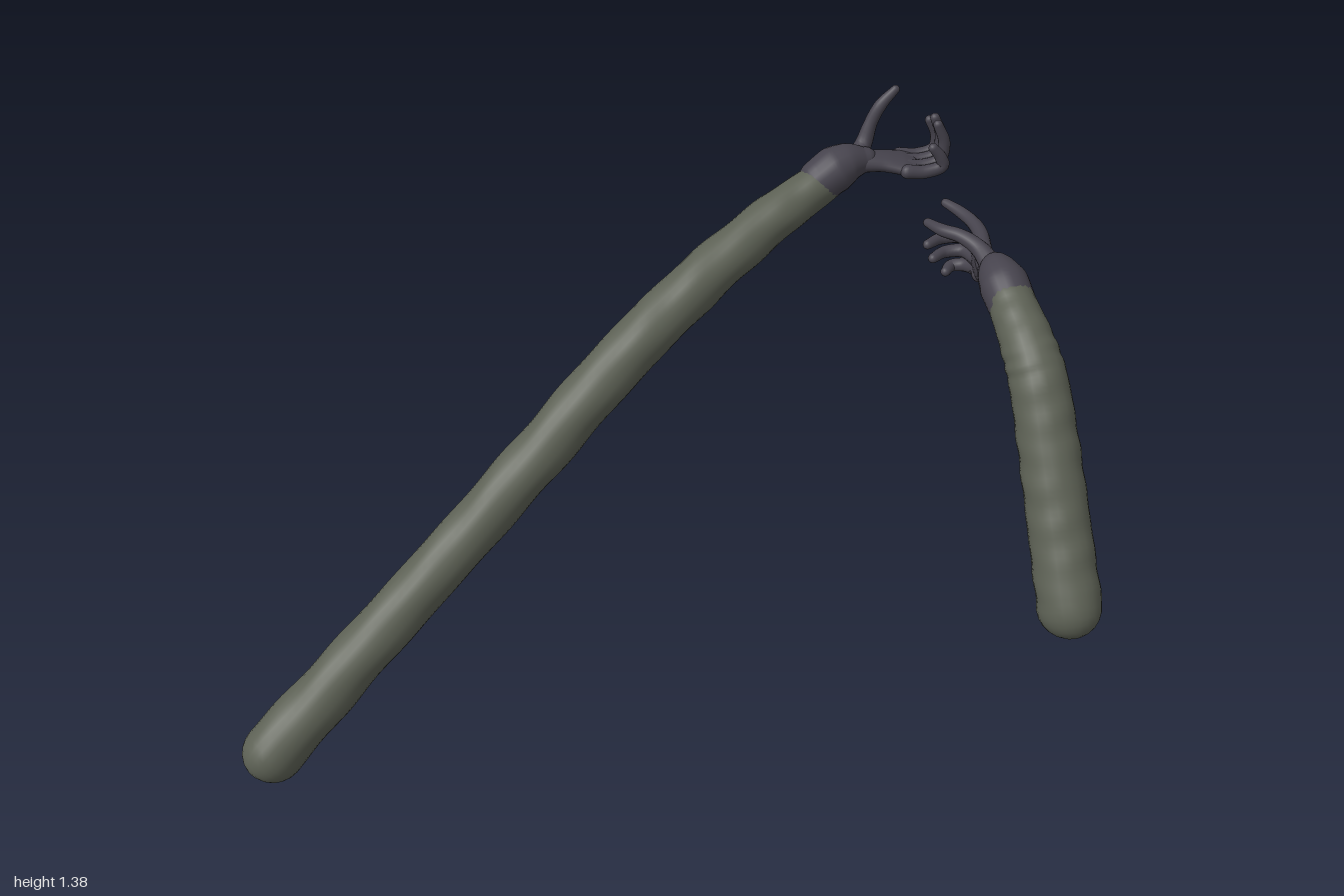
import * as THREE from 'three';

const sleeveMat = new THREE.MeshStandardMaterial({ color: 0x5c6054 });
sleeveMat.name = 'olive sleeve';
const gloveMat = new THREE.MeshStandardMaterial({ color: 0x46434d });
gloveMat.name = 'dark glove';

// Round-ended sweep through stations [x, y, z, radius across `side`, other radius]
function sweep(name, mat, stations, { side = [0, 1, 0], steps = 20, sides = 14, bump = 0 } = {}) {
  const curve = new THREE.CatmullRomCurve3(stations.map(s => new THREE.Vector3(s[0], s[1], s[2])));
  const sideVec = new THREE.Vector3(...side);
  const pos = [], index = [];
  let rows = 0;
  const ring = (t, capAngle) => {
    const f = t * (stations.length - 1), k = Math.min(Math.floor(f), stations.length - 2);
    const mix = c => THREE.MathUtils.lerp(stations[k][c] ?? stations[k][3], stations[k + 1][c] ?? stations[k + 1][3], f - k);
    const w = mix(3), h = mix(4);
    const T = curve.getTangent(t);
    const U = sideVec.clone().addScaledVector(T, -sideVec.dot(T)).normalize();
    const V = new THREE.Vector3().crossVectors(T, U);
    const c = curve.getPoint(t).addScaledVector(T, Math.min(w, h) * Math.sin(capAngle));
    const shrink = Math.cos(capAngle);
    for (let j = 0; j < sides; j++) {
      const a = j / sides * Math.PI * 2;
      const b = 1 + bump * Math.sin(t * 62 + 1.3 * Math.sin(a * 2)) * Math.cos(a + t * 9);
      const p = c.clone().addScaledVector(U, w * shrink * b * Math.cos(a)).addScaledVector(V, h * shrink * b * Math.sin(a));
      pos.push(p.x, p.y, p.z);
    }
    rows++;
  };
  const cap = 6;
  for (let i = 0; i < cap; i++) ring(0, (i / cap - 1) * Math.PI / 2 * 0.999);
  for (let i = 0; i <= steps; i++) ring(i / steps, 0);
  for (let i = 1; i <= cap; i++) ring(1, i / cap * Math.PI / 2 * 0.999);
  for (let i = 0; i < rows - 1; i++) for (let j = 0; j < sides; j++) {
    const a = i * sides + j, b = i * sides + (j + 1) % sides;
    index.push(a, b, a + sides, b, b + sides, a + sides);
  }
  const geo = new THREE.BufferGeometry();
  geo.setAttribute('position', new THREE.Float32BufferAttribute(pos, 3));
  geo.setIndex(index);
  geo.computeVertexNormals();
  const mesh = new THREE.Mesh(geo, mat);
  mesh.name = name;
  return mesh;
}

function longArm() {
  const g = new THREE.Group();
  g.name = 'longArm';
  // Sleeve
  g.add(sweep('longSleeve', sleeveMat, [
    [-0.92, 0.085, 0.21, 0.077], [-0.7, 0.27, 0.1, 0.07], [-0.46, 0.465, -0.025, 0.068], [-0.22, 0.67, -0.145, 0.069],
    [0, 0.86, -0.255, 0.069], [0.2, 0.998, -0.36, 0.067], [0.4, 1.11, -0.46, 0.06], [0.55, 1.18, -0.525, 0.052],
  ], { steps: 90, sides: 24, bump: 0.035 }));
  // Wrist cuff
  g.add(sweep('longCuff', gloveMat, [
    [0.535, 1.18, -0.52, 0.056], [0.575, 1.203, -0.532, 0.059], [0.61, 1.215, -0.54, 0.05], [0.65, 1.218, -0.545, 0.032],
  ], { sides: 20 }));
  // Palm, lying flat
  g.add(sweep('longPalm', gloveMat, [
    [0.62, 1.215, -0.542, 0.032, 0.028], [0.69, 1.212, -0.545, 0.04, 0.023], [0.745, 1.203, -0.545, 0.056, 0.021],
    [0.77, 1.199, -0.544, 0.058, 0.017],
  ], { side: [0, 0, 1], sides: 20 }));
  // Fingers curling upward
  [[-0.497, 1.265, 0.81], [-0.528, 1.312, 0.825], [-0.56, 1.315, 0.825], [-0.588, 1.295, 0.82]].forEach(([z, y, x]) => {
    g.add(sweep('longFinger', gloveMat, [
      [0.75, 1.203, z, 0.018], [0.795, 1.2, z, 0.017], [0.838, 1.215, z, 0.0165],
      [x + 0.02, (y + 1.215) / 2, z, 0.015], [x, y, z, 0.012],
    ], { side: [0, 0, 1] }));
  });
  // Thumb
  g.add(sweep('longThumb', gloveMat, [
    [0.63, 1.215, -0.56, 0.026], [0.655, 1.24, -0.587, 0.022], [0.672, 1.29, -0.598, 0.017],
    [0.695, 1.337, -0.602, 0.016], [0.73, 1.375, -0.606, 0.011],
  ], { side: [0, 0, 1] }));
  return g;
}

function shortArm() {
  const g = new THREE.Group();
  g.name = 'shortArm';
  const side = [1, 0, 0];
  // Sleeve
  g.add(sweep('shortSleeve', sleeveMat, [
    [0.922, 0.66, 0.55, 0.073], [0.908, 0.81, 0.45, 0.071], [0.893, 0.96, 0.352, 0.069],
    [0.877, 1.09, 0.262, 0.066], [0.865, 1.14, 0.205, 0.062], [0.848, 1.195, 0.1, 0.053],
  ], { side, steps: 60, sides: 24, bump: 0.025 }));
  // Wrist cuff
  g.add(sweep('shortCuff', gloveMat, [
    [0.85, 1.188, 0.105, 0.055], [0.842, 1.21, 0.06, 0.057, 0.058], [0.835, 1.215, 0.02, 0.046, 0.052],
    [0.832, 1.21, -0.005, 0.034, 0.044],
  ], { side, sides: 20 }));
  // Palm, standing on edge
  g.add(sweep('shortPalm', gloveMat, [
    [0.832, 1.212, 0, 0.03, 0.04], [0.83, 1.198, -0.05, 0.024, 0.044], [0.835, 1.18, -0.1, 0.02, 0.053],
    [0.838, 1.172, -0.13, 0.017, 0.053],
  ], { side, sides: 20 }));
  // Pointing index finger
  g.add(sweep('shortIndex', gloveMat, [
    [0.836, 1.212, -0.1, 0.02], [0.845, 1.215, -0.16, 0.018], [0.84, 1.215, -0.22, 0.016],
    [0.82, 1.217, -0.27, 0.014], [0.797, 1.22, -0.305, 0.011],
  ], { side: [0, 1, 0] }));
  // Three curled fingers
  [[1.185, 1.165, -0.235, 0.725], [1.158, 1.135, -0.22, 0.737], [1.135, 1.108, -0.2, 0.765]].forEach(([y0, y1, z, x]) => {
    g.add(sweep('shortFinger', gloveMat, [
      [0.838, y0, -0.11, 0.019], [0.842, (y0 + y1) / 2, -0.16, 0.018], [0.825, y1 + 0.005, z + 0.008, 0.0165],
      [(x + 0.825) / 2, y1, z, 0.015], [x + 0.01, y1, z + 0.025, 0.012],
    ], { side: [0, 1, 0] }));
  });
  // Thumb
  g.add(sweep('shortThumb', gloveMat, [
    [0.828, 1.225, -0.005, 0.026], [0.808, 1.245, -0.05, 0.02], [0.775, 1.258, -0.085, 0.0165],
    [0.74, 1.256, -0.12, 0.015], [0.717, 1.25, -0.168, 0.011],
  ], { side: [0, 1, 0] }));
  return g;
}

export function createModel() {
  const model = new THREE.Group();
  model.name = 'reachingArms';
  model.add(longArm(), shortArm());
  return model;
}
